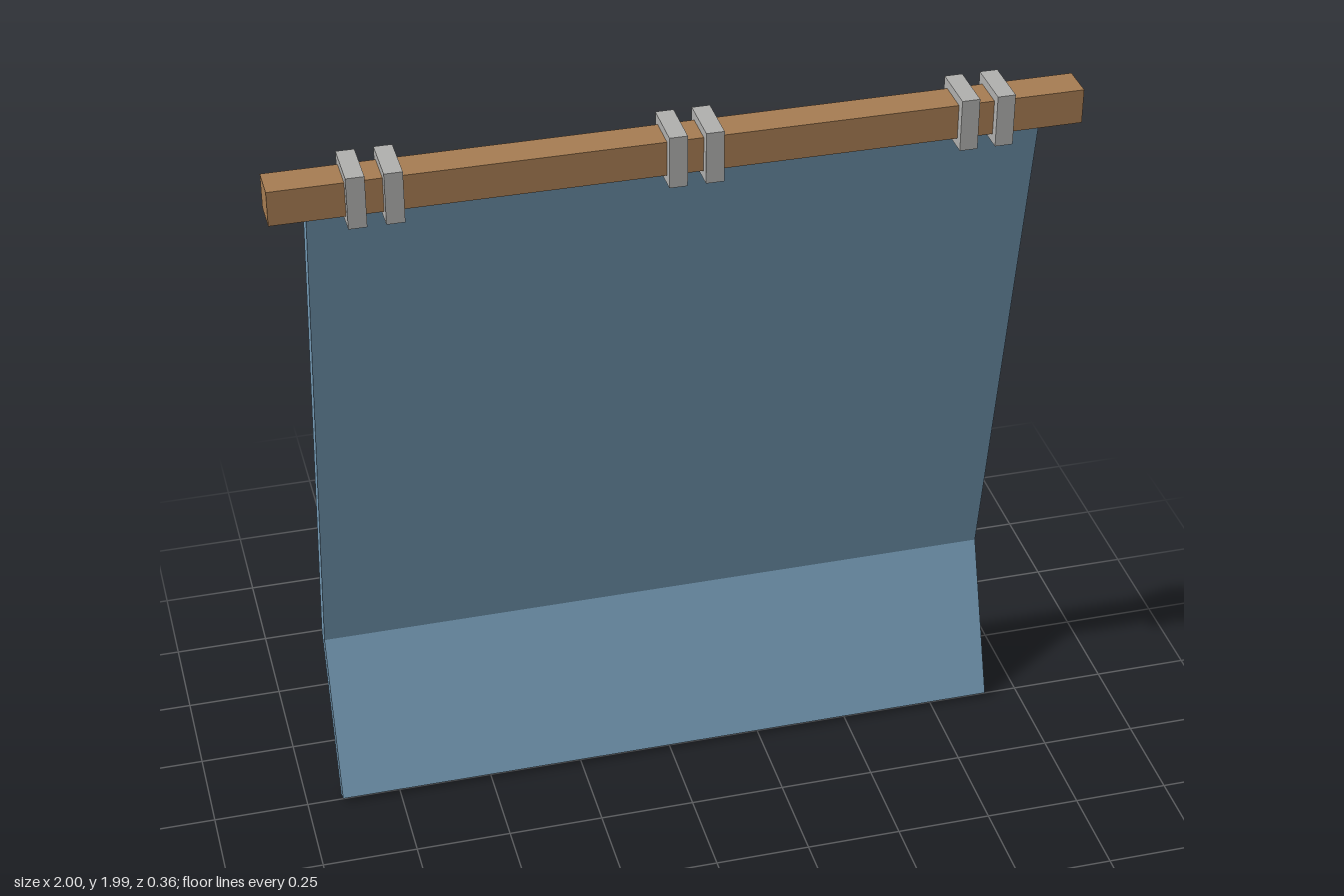
import * as THREE from 'three';

const wood = new THREE.MeshStandardMaterial({ name: 'wood', color: 0xa67c52 });
const metal = new THREE.MeshStandardMaterial({ name: 'grey metal', color: 0xb0b0ae });
const cloth = new THREE.MeshStandardMaterial({ name: 'blue cloth', color: 0x749ab5 });

const BAR_Y = 1.927, BAR_Z = 0.112;

function box(name, w, h, d, x, material) {
  const mesh = new THREE.Mesh(new THREE.BoxGeometry(w, h, d), material);
  mesh.name = name;
  mesh.position.set(x, BAR_Y, BAR_Z);
  return mesh;
}

export function createModel() {
  const model = new THREE.Group();
  model.name = 'hangingBanner';

  // Square crossbar
  model.add(box('crossbar', 2, 0.09, 0.09, 0, wood));

  // Three pairs of square bands around the crossbar
  const bands = new THREE.Group();
  bands.name = 'bands';
  for (const x of [-0.75, 0.0215, 0.7475]) {
    for (const side of [-1, 1]) {
      bands.add(box('band', 0.045, 0.135, 0.135, x + side * 0.045, metal));
    }
  }
  model.add(bands);

  // Folded sheet: side profile as (z, y), extruded across x
  const profile = new THREE.Shape([
    [0.123, 1.925], [-0.137, 0.435], [0.016, 0.014],
    [-0.022, 0], [-0.18, 0.431], [0.081, 1.925],
  ].map(([z, y]) => new THREE.Vector2(z, y)));
  const width = 1.812;
  const geometry = new THREE.ExtrudeGeometry(profile, { depth: width, bevelEnabled: false });
  geometry.translate(0, 0, -width / 2).rotateY(-Math.PI / 2);
  const sheet = new THREE.Mesh(geometry, cloth);
  sheet.name = 'foldedSheet';
  model.add(sheet);

  return model;
}
